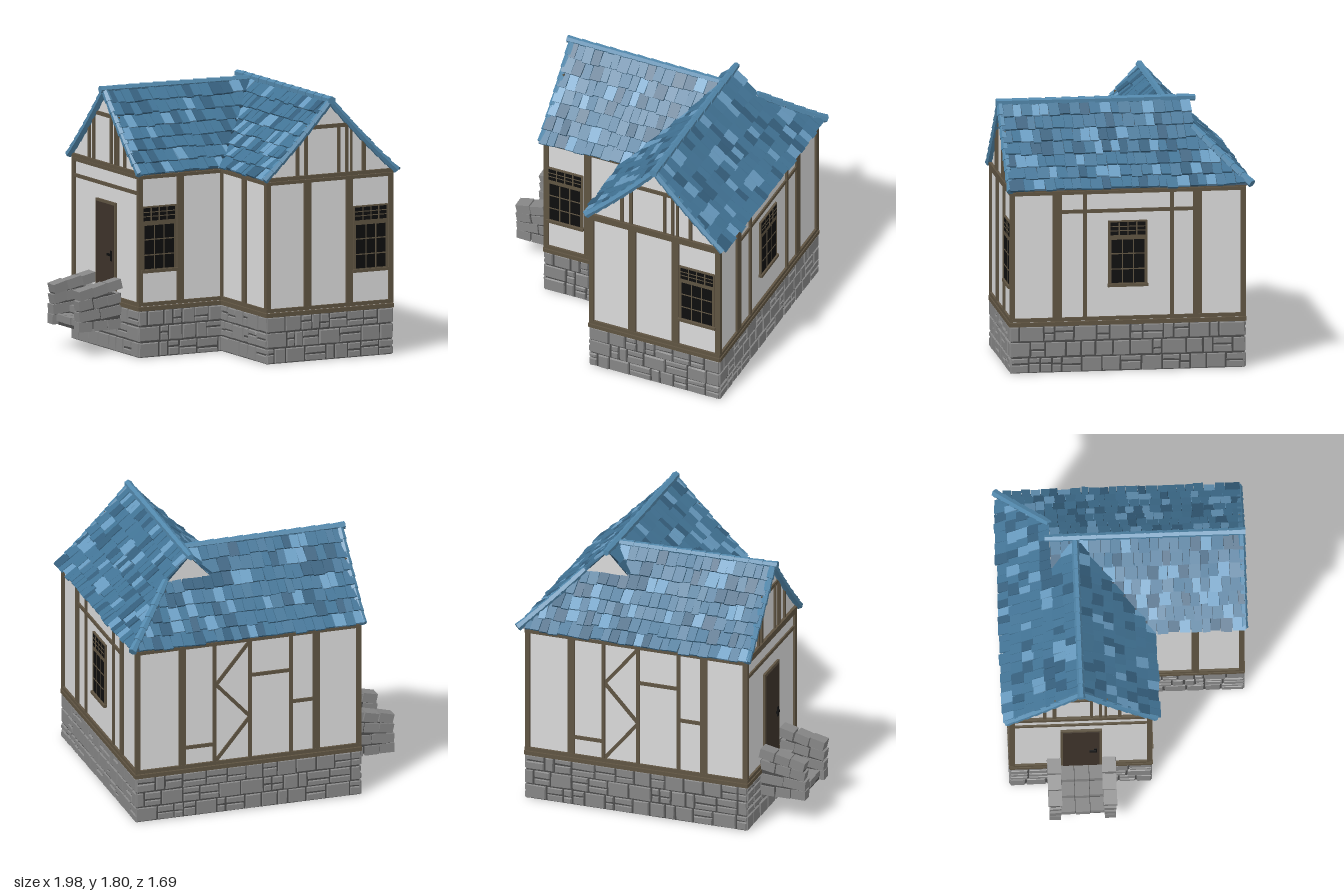
import * as THREE from 'three';
import { mergeGeometries } from 'three/addons/utils/BufferGeometryUtils.js';

const V = (x, y, z) => new THREE.Vector3(x, y, z);

export function createModel() {
  const mat = (name, color, opts = {}) => {
    const m = new THREE.MeshStandardMaterial({ color, ...opts });
    m.name = name;
    return m;
  };
  const flat = { flatShading: true };
  const plaster = mat('plaster', 0xdadada, { side: THREE.DoubleSide });
  const wood = mat('timber', 0x5f5442);
  const doorWood = mat('doorWood', 0x3d332a);
  const glass = mat('darkGlass', 0x0e0e0e);
  const stone = mat('stone', 0x868686, flat);
  const mortar = mat('mortar', 0x4c4c4c);
  const tileMats = [mat('tileBlue', 0x427496, flat), mat('tileDark', 0x355f7d, flat), mat('tileLight', 0x689bc0, flat)];
  const underlay = mat('roofUnderlay', 0x223d50, { side: THREE.DoubleSide });

  let seed = 7;
  const rnd = () => (seed = (seed * 16807) % 2147483647) / 2147483647;
  const jit = (a) => (rnd() - 0.5) * 2 * a;

  const house = new THREE.Group();
  house.name = 'house';
  const add = (parent, name, geo, material) => {
    const m = new THREE.Mesh(geo, material);
    m.name = name;
    parent.add(m);
    return m;
  };
  const box = (parent, name, material, u0, u1, v0, v1, w0, w1) => {
    const m = add(parent, name, new THREE.BoxGeometry(u1 - u0, v1 - v0, w1 - w0), material);
    m.position.set((u0 + u1) / 2, (v0 + v1) / 2, (w0 + w1) / 2);
    return m;
  };

  // Rough stone: a box whose outer face (+z) is a little smaller and uneven
  const block = (w, h, d) => {
    const g = new THREE.BoxGeometry(w, h, d);
    const p = g.attributes.position;
    const k = [0, 1, 2, 3].map(() => 0.004 + rnd() * 0.006);
    for (let i = 0; i < p.count; i++) {
      if (p.getZ(i) < 0) continue;
      const x = p.getX(i), y = p.getY(i), c = k[(x > 0 ? 1 : 0) + (y > 0 ? 2 : 0)];
      p.setXY(i, x - Math.sign(x) * c, y - Math.sign(y) * c);
    }
    return g;
  };

  // Walls: local x runs along the wall, local z points outwards
  const makeWall = (name, x, z, rot, u0, u1) => {
    const g = new THREE.Group();
    g.name = name;
    g.position.set(x, 0, z);
    g.rotation.y = rot;
    house.add(g);
    const sheet = add(g, 'plasterPanel', new THREE.PlaneGeometry(u1 - u0, 1.26), plaster);
    sheet.position.set((u0 + u1) / 2, 0.63, 0);
    const a = u0 - 0.016, b = u1 + 0.016;
    box(g, 'lowerSill', wood, a, b, 0.32, 0.348, 0.001, 0.022);
    box(g, 'lowerRail', wood, a, b, 0.352, 0.376, 0.001, 0.017);
    box(g, 'upperRail', wood, a, b, 1.218, 1.24, 0.001, 0.017);
    box(g, 'topPlate', wood, a, b, 1.244, 1.268, 0.001, 0.022);
    box(g, 'cornerPost', wood, a, u0 + 0.018, 0.376, 1.22, 0.001, 0.016);
    box(g, 'cornerPost', wood, u1 - 0.018, b, 0.376, 1.22, 0.001, 0.016);
    // Stone footing
    box(g, 'footingMortar', mortar, u0 - 0.007, u1 + 0.007, 0.002, 0.32, 0.001, 0.007);
    const stones = [];
    const put = (s, t, y0, y1) => stones.push(block(t - s - 0.005, y1 - y0 - 0.005, 0.018).translate((s + t) / 2, (y0 + y1) / 2, 0.009 + jit(0.002)));
    for (let r = 0; r < 3; r++) {
      const y0 = r * 0.107, y1 = y0 + 0.107;
      for (let s = a; s < b - 0.005;) {
        let t = s + 0.06 + rnd() * 0.11;
        if (b - t < 0.05) t = b;
        const cut = y0 + 0.04 + rnd() * 0.03;
        if (rnd() < 0.45) { put(s, t, y0, cut); put(s, t, cut, y1); } else put(s, t, y0, y1);
        s = t;
      }
    }
    add(g, 'footingStones', mergeGeometries(stones), stone);
    return g;
  };
  const post = (g, u, w, v0 = 0.37, v1 = 1.225) => box(g, 'post', wood, u - w / 2, u + w / 2, v0, v1, 0.001, 0.015);
  const rail = (g, u0, u1, v, w = 0.024) => box(g, 'rail', wood, u0, u1, v - w / 2, v + w / 2, 0.001, 0.013);
  const brace = (g, u0, v0, u1, v1) => {
    const m = add(g, 'brace', new THREE.BoxGeometry(Math.hypot(u1 - u0, v1 - v0), 0.024, 0.011), wood);
    m.position.set((u0 + u1) / 2, (v0 + v1) / 2, 0.0065);
    m.rotation.z = Math.atan2(v1 - v0, u1 - u0);
  };
  // Windows show on both faces of the wall
  const addWindow = (parent, u) => {
    const g = new THREE.Group();
    g.name = 'window';
    g.position.x = u;
    parent.add(g);
    box(g, 'frame', wood, -0.132, 0.132, 0.59, 1.03, -0.014, 0.014);
    box(g, 'windowSill', wood, -0.138, 0.138, 0.578, 0.598, -0.016, 0.026);
    box(g, 'mainPane', glass, -0.112, 0.112, 0.605, 0.9, -0.016, 0.016);
    box(g, 'transomPane', glass, -0.12, 0.12, 0.932, 1.02, -0.016, 0.016);
    for (const x of [-0.037, 0.037]) box(g, 'bar', wood, x - 0.004, x + 0.004, 0.605, 0.9, -0.018, 0.018);
    for (const y of [0.7, 0.805]) box(g, 'bar', wood, -0.112, 0.112, y - 0.004, y + 0.004, -0.018, 0.018);
    for (const x of [-0.06, 0, 0.06]) box(g, 'bar', wood, x - 0.004, x + 0.004, 0.932, 1.02, -0.018, 0.018);
    for (const y of [0.962, 0.991]) box(g, 'bar', wood, -0.12, 0.12, y - 0.003, y + 0.003, -0.018, 0.018);
  };

  // Roof height at horizontal distance d from a ridge
  const RX = 0.46, RZ = -0.32, SPAN = 0.505, CUT = 0.17;
  const h = (d) => 1.755 - 1.1 * d + 0.22 * d * d;
  const gable = (parent, c, half, base, name) => {
    const s = new THREE.Shape();
    s.moveTo(c - half, base);
    s.lineTo(c + half, base);
    for (let i = 8; i >= -8; i--) s.lineTo(c + (half * i) / 8, Math.max(base, h(Math.abs(half * i) / 8)));
    return add(parent, name, new THREE.ShapeGeometry(s), plaster);
  };
  const gableTimber = (g, c) => {
    gable(g, c, 0.475, 1.255, 'gablePanel');
    rail(g, c - 0.18, c + 0.18, 1.59, 0.026);
    for (const [o, w] of [[-0.245, 0.024], [-0.18, 0.024], [0.07, 0.018], [0.13, 0.02], [0.165, 0.014], [0.26, 0.024]])
      post(g, c + o, w, 1.265, Math.min(1.59, h(Math.abs(o)) - 0.005));
  };

  const wingFront = makeWall('wingFrontWall', 0, 0.785, 0, -0.01, 0.925);
  post(wingFront, 0.29, 0.055); post(wingFront, 0.61, 0.05);
  addWindow(wingFront, 0.77);
  gableTimber(wingFront, RX);

  const mainFront = makeWall('mainFrontWall', 0, 0.14, 0, -0.64, -0.01);
  post(mainFront, -0.335, 0.05);
  addWindow(mainFront, -0.5);

  const inner = makeWall('wingLeftWall', -0.01, 0, -Math.PI / 2, 0.14, 0.785);
  post(inner, 0.47, 0.05);

  const right = makeWall('rightSideWall', 0.925, 0, Math.PI / 2, -0.785, 0.785);
  for (const u of [-0.48, 0.475]) post(right, u, 0.06);
  for (const u of [-0.29, 0.3]) post(right, u, 0.025);
  rail(right, -0.45, 0.45, 1.1);
  addWindow(right, 0);

  const back = makeWall('backWall', 0, -0.785, Math.PI, -0.925, 0.64);
  for (const u of [-0.61, 0.34]) post(back, u, 0.05);
  for (const u of [-0.38, -0.13, 0.16]) post(back, u, 0.024);
  rail(back, -0.13, 0.16, 0.97); rail(back, -0.61, -0.38, 0.5); rail(back, 0.16, 0.34, 0.74);
  const zig = [[-0.13, 1.22], [-0.37, 0.93], [-0.13, 0.67], [-0.37, 0.38]];
  for (let i = 0; i < 3; i++) brace(back, ...zig[i], ...zig[i + 1]);

  const left = makeWall('entranceWall', -0.64, 0, -Math.PI / 2, -0.785, 0.14);
  rail(left, -0.78, 0.135, 1.12);
  gableTimber(left, RZ);
  box(left, 'doorFrame', wood, -0.46, -0.18, 0.35, 1.01, -0.014, 0.016);
  box(left, 'door', doorWood, -0.442, -0.198, 0.355, 0.992, -0.018, 0.02);
  box(left, 'handlePlate', glass, -0.235, -0.215, 0.61, 0.68, -0.022, 0.024);
  box(left, 'doorHandle', glass, -0.265, -0.22, 0.645, 0.66, 0.024, 0.036);

  // Small gablet closing the wing ridge at the back
  const gablet = gable(house, RX, CUT + 0.005, 1.55, 'gabletPanel');
  gablet.position.z = -0.49;

  // Roof slopes: ridge start, outward direction, extent along the ridge at d
  const slopes = [
    { name: 'mainFrontSlope', o: V(0, 0, 1), at: (s, d) => V(s, h(d), RZ + d), range: (d) => [-0.67, RX - d] },
    { name: 'mainBackSlope', o: V(0, 0, -1), at: (s, d) => V(s, h(d), RZ - d), range: (d) => [-0.67, d < CUT ? RX - d : RX + d] },
    { name: 'wingRightSlope', o: V(1, 0, 0), at: (s, d) => V(RX + d, h(d), s), range: (d) => [d < CUT ? -0.49 : RZ - d, 0.81] },
    { name: 'wingLeftSlope', o: V(-1, 0, 0), at: (s, d) => V(RX - d, h(d), s), range: (d) => [d < CUT ? -0.49 : RZ + d, 0.81] },
  ];
  const ROWS = 7;
  for (const { name, o, at, range } of slopes) {
    const g = new THREE.Group();
    g.name = name;
    house.add(g);
    const pts = [], ds = [0, 0.085, CUT, 0.25, 0.34, 0.42, SPAN];
    for (let i = 0; i < ds.length - 1; i++) {
      const d0 = ds[i] + 1e-6, d1 = ds[i + 1] - 1e-6, [a, b] = range(d0), [c, e] = range(d1);
      const q = [at(a, d0), at(b, d0), at(e, d1), at(c, d1)];
      pts.push(q[0], q[2], q[1], q[0], q[3], q[2]);
    }
    const sheet = new THREE.BufferGeometry().setFromPoints(pts);
    sheet.computeVertexNormals();
    add(g, 'underlay', sheet, underlay);
    // Overlapping tiles, lower ends lifted
    const tiles = [[], [], []];
    for (let r = 0; r < ROWS; r++) {
      const d = ((r + 0.5) * SPAN) / ROWS, slope = -1.1 + 0.44 * d;
      const D = o.clone().setY(slope).normalize();
      const N = o.clone().multiplyScalar(-slope).setY(1).normalize();
      const S = N.clone().cross(D);
      const [s0, s1] = range(d);
      for (let s = s0; s < s1 - 0.01;) {
        let t = s + 0.05 + rnd() * 0.035;
        if (s1 - t < 0.035) t = s1;
        const geo = new THREE.BoxGeometry(t - s - 0.003, 0.014, 0.118 + jit(0.012));
        geo.rotateX(-0.13 + jit(0.05)).rotateY(jit(0.05)).rotateZ(jit(0.05));
        const p = at((s + t) / 2, d).addScaledVector(N, 0.014 + jit(0.004)).addScaledVector(D, jit(0.006));
        geo.applyMatrix4(new THREE.Matrix4().makeBasis(S, N, D).setPosition(p));
        const k = rnd();
        tiles[k < 0.62 ? 0 : k < 0.82 ? 1 : 2].push(geo);
        s = t;
      }
    }
    tiles.forEach((list, i) => add(g, 'tiles', mergeGeometries(list), tileMats[i]));
  }

  // Ridge, hip and verge caps: tapered tubes laid end to end along a path
  const caps = (name, path, n, r) => {
    const list = [];
    for (let i = 0; i < n; i++) {
      const a = path(i / n), b = path((i + 1) / n), dir = b.clone().sub(a);
      const geo = new THREE.CylinderGeometry(r * 1.12, r * 0.85, dir.length() * 1.12, 6);
      const q = new THREE.Quaternion().setFromUnitVectors(V(0, 1, 0), dir.normalize());
      geo.applyQuaternion(q).translate(...a.add(b).multiplyScalar(0.5).toArray());
      list.push(geo);
    }
    add(house, name, mergeGeometries(list), capMat);
  };
  const capMat = mat('capBlue', 0x5288ac, flat);
  const line = (a, b) => (t) => a.clone().lerp(b, t);
  caps('mainRidge', line(V(RX - 0.02, 1.76, RZ), V(-0.69, 1.768, RZ)), 11, 0.024);
  caps('wingRidge', line(V(RX, 1.765, -0.52), V(RX, 1.768, 0.82)), 12, 0.026);
  caps('hipCap', (t) => { const d = CUT + t * 0.345; return V(RX + d, h(d) + 0.022, RZ - d); }, 6, 0.027);
  for (const s of [-1, 1]) {
    caps('mainVerge', (t) => V(-0.662, h(t * 0.51) + 0.008, RZ + s * t * 0.5), 8, 0.025);
    caps('wingVerge', (t) => V(RX + s * t * 0.5, h(t * 0.51) + 0.008, 0.8), 8, 0.025);
  }

  // Entrance steps between two stone parapets
  const stairs = new THREE.Group();
  stairs.name = 'entranceSteps';
  house.add(stairs);
  for (const z of [-0.505, -0.135]) {
    box(stairs, 'parapetCore', mortar, -0.96, -0.65, 0.18, 0.41, z - 0.03, z + 0.03);
    for (let r = 0; r < 4; r++) {
      const n = r === 1 ? 2 : 3, w = 0.325 / n;
      for (let i = 0; i < n; i++) {
        const x = -0.975 + (i + 0.5) * w, top = r === 3 ? 0.012 : 0;
        const m = add(stairs, 'parapetStone', new THREE.BoxGeometry(w - 0.006, 0.066, 0.074 + top + rnd() * 0.008), stone);
        m.position.set(x + jit(0.004), 0.2 + r * 0.069 + (x + 0.975) * 0.07 * r + jit(0.003), z);
        m.rotation.set(jit(0.04), jit(0.04), 0.07 * r + 0.03 + jit(0.04));
      }
    }
  }
  for (let i = 0; i < 3; i++) {
    const x0 = -0.945 + i * 0.095, y = 0.235 + i * 0.058;
    box(stairs, 'riser', mortar, x0 + 0.01, -0.65, 0.165 + i * 0.05, y - 0.02, -0.47, -0.17);
    for (let k = 0; k < 3; k++) {
      const z = -0.47 + k * 0.1;
      box(stairs, 'tread', stone, x0 + jit(0.006), i === 2 ? -0.645 : x0 + 0.1, y - 0.045, y + jit(0.004), z + 0.002, z + 0.098);
    }
  }
  return house;
}
